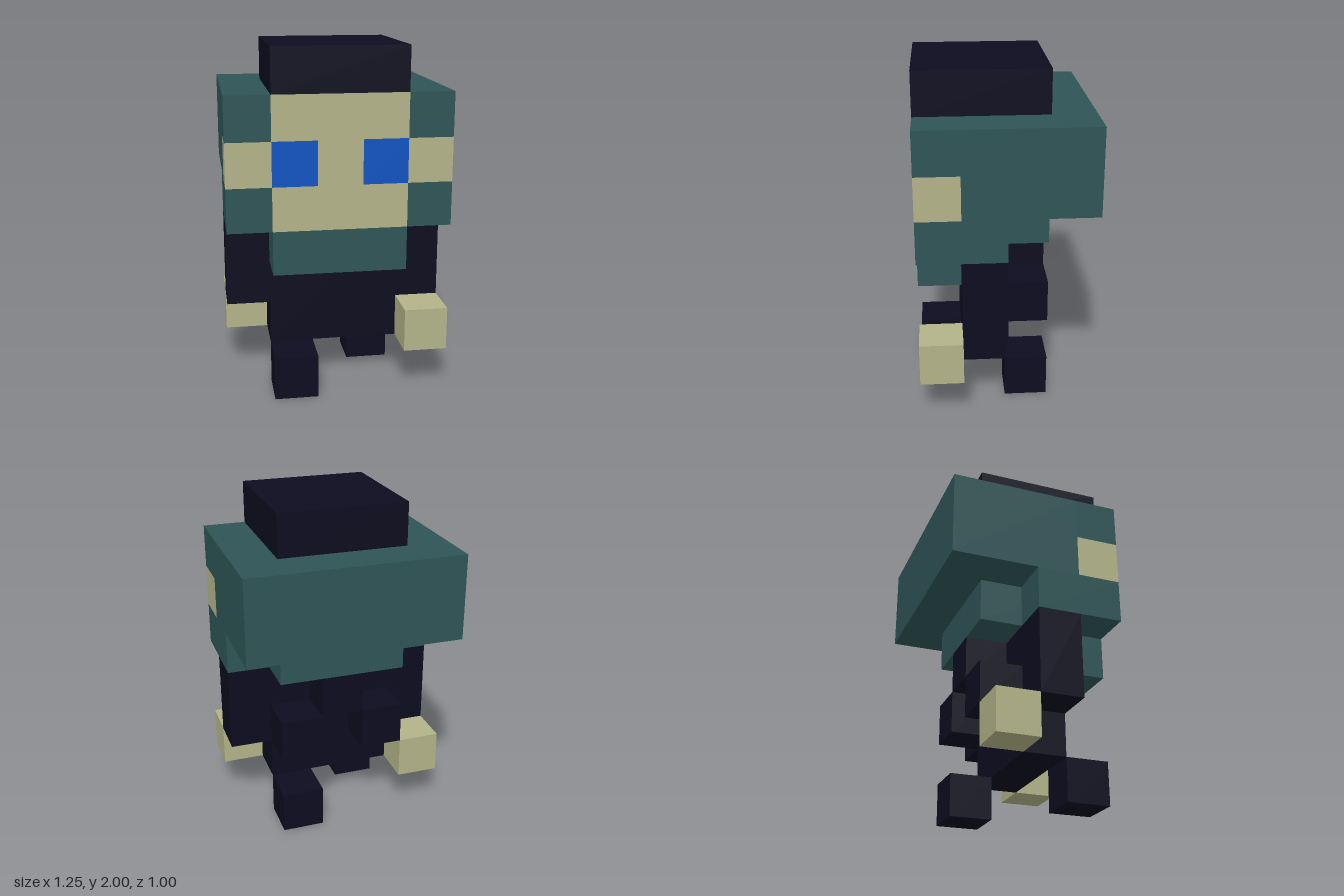
import * as THREE from 'three';

const U = 0.25; // edge of one block

function material(name, color) {
  const m = new THREE.MeshStandardMaterial({ color });
  m.name = name;
  return m;
}

export function createModel() {
  const root = new THREE.Group();
  root.name = 'blockFigure';
  const teal = material('teal', 0x2e5456);
  const dark = material('midnight', 0x0c0c1f);
  const cream = material('cream', 0xb2b388);
  const blue = material('blue', 0x0f53c2);

  // Box between block-grid corners: x 0..5, y 0..8, z 0 (back)..4 (front)
  function block(name, mat, [x0, y0, z0], [x1, y1, z1]) {
    const geo = new THREE.BoxGeometry((x1 - x0) * U, (y1 - y0) * U, (z1 - z0) * U);
    const mesh = new THREE.Mesh(geo, mat);
    mesh.name = name;
    mesh.position.set(((x0 + x1) / 2 - 2.5) * U, ((y0 + y1) / 2) * U, ((z0 + z1) / 2 - 2) * U);
    root.add(mesh);
  }

  // Hat
  block('hat', dark, [1, 7, 1], [4, 8, 4]);

  // Hair: main mass, lower nape, and the chin block
  block('hair', teal, [0, 5, 0], [5, 7, 3]);
  block('nape', teal, [1, 4, 1], [4, 5, 3]);
  block('chin', teal, [1, 3, 3], [4, 4, 4]);

  // Face with the eye blocks set between its parts
  block('forehead', cream, [1, 6, 3], [4, 7, 4]);
  block('nose', cream, [2, 5, 3], [3, 6, 4]);
  block('cheeks', cream, [1, 4, 3], [4, 5, 4]);

  // Mirrored parts
  for (const [side, x, eyeX] of [['right', 0, 1], ['left', 4, 3]]) {
    block(side + 'Eye', blue, [eyeX, 5, 3], [eyeX + 1, 6, 4]);
    block(side + 'Ear', cream, [x, 5, 3], [x + 1, 6, 4]);
    block(side + 'Temple', teal, [x, 6, 3], [x + 1, 7, 4]);
    block(side + 'Sideburn', teal, [x, 4, 2], [x + 1, 5, 4]);
    block(side + 'Arm', dark, [x, 2, 2], [x + 1, 4, 3]);
    block(side + 'BackBlock', dark, [eyeX, 2, 1], [eyeX + 1, 3, 2]);
  }

  // Body
  block('torso', dark, [1, 1, 2], [4, 4, 3]);
  block('upperBack', dark, [2, 3, 1], [3, 4, 2]);

  // Hands and feet in a striding pose
  block('rightHand', cream, [0, 1, 1], [1, 2, 2]);
  block('leftHand', cream, [4, 1, 3], [5, 2, 4]);
  block('rightFoot', dark, [1, 0, 3], [2, 1, 4]);
  block('leftFoot', dark, [3, 0, 1], [4, 1, 2]);

  return root;
}
